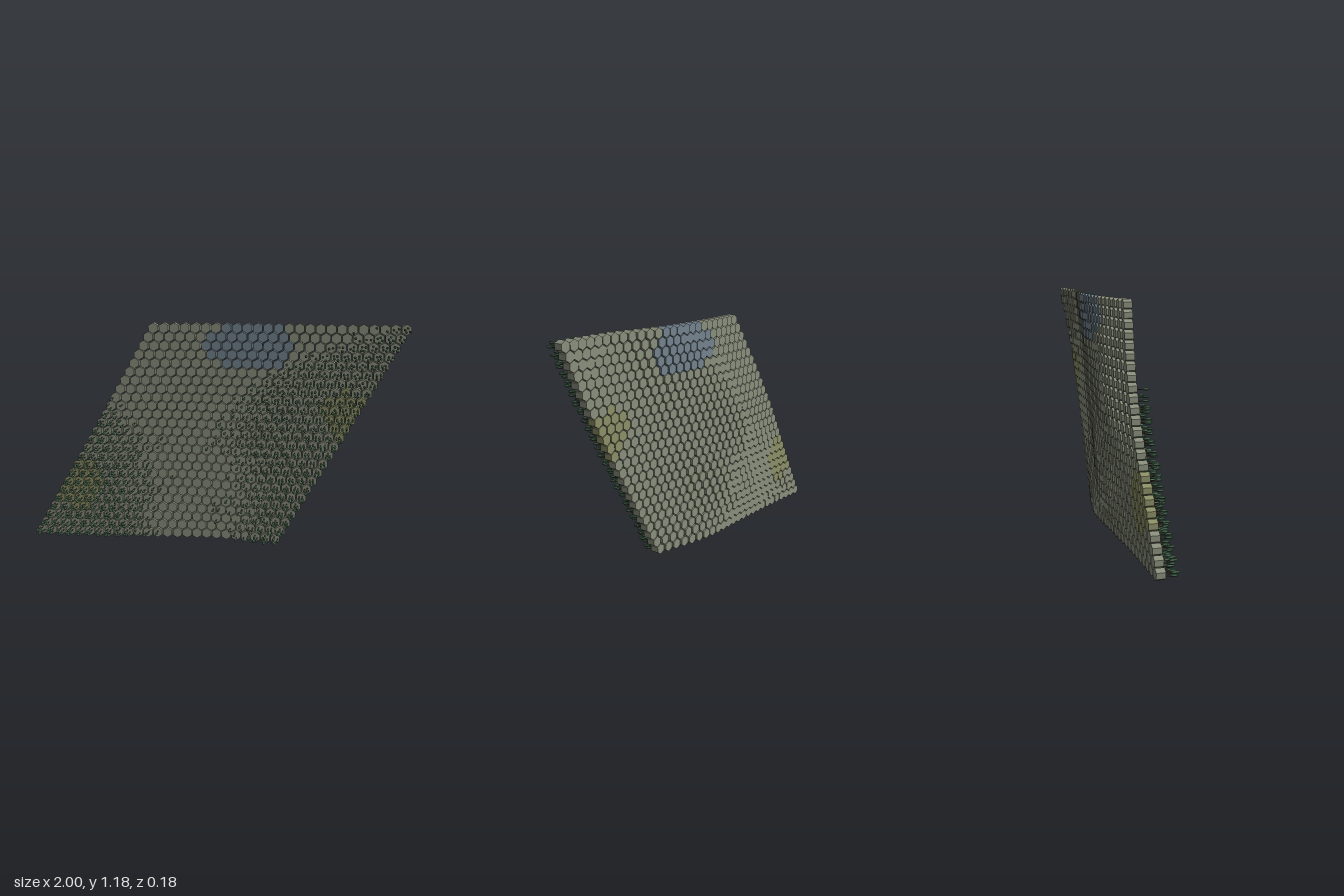
import * as THREE from 'three';
import { mergeGeometries } from 'three/addons/utils/BufferGeometryUtils.js';

const N = 25;                       // tiles per row, and rows
const PITCH = 0.0542, TILE = 0.0495; // tile spacing and width across flats
const DEPTH = 0.045;
const ROW = PITCH * Math.sqrt(3) / 2;

// Back z of the rolling ground: rows bottom to top, columns left to right
const GROUND = [
  [-0.03, -0.035, -0.052, -0.068, -0.018],
  [-0.035, -0.06, -0.085, -0.037, -0.018],
  [-0.045, -0.088, -0.062, -0.03, -0.018],
  [-0.033, -0.073, -0.062, -0.03, -0.028],
  [-0.005, -0.05, -0.07, -0.035, -0.055],
];

// Smooth interpolation through evenly spaced values
function spline(v, t) {
  const n = v.length - 1, f = Math.min(Math.max(t, 0), 1) * n;
  const i = Math.min(Math.floor(f), n - 1), u = f - i;
  const p1 = v[i], p2 = v[i + 1];
  const p0 = i > 0 ? v[i - 1] : 2 * p1 - p2;
  const p3 = i + 2 <= n ? v[i + 2] : 2 * p2 - p1;
  return p1 + 0.5 * u * (p2 - p0 + u * (2 * p0 - 5 * p1 + 4 * p2 - p3 + u * (3 * (p1 - p2) + p3 - p0)));
}

const groundZ = (q, r) => spline(GROUND.map((row) => spline(row, q / (N - 1))), r / (N - 1));

// Edges of the bare valley, by height
const VALLEY_LEFT = [-0.32, -0.33, -0.34, -0.42, -0.52, -0.6, -0.6];
const VALLEY_RIGHT = [0.06, 0.08, 0.08, 0.0, 0.1, 0.36, 0.88];

function seeded(seed) {
  return () => {
    seed = (seed * 1664525 + 1013904223) % 4294967296;
    return seed / 4294967296;
  };
}

// Number of trees standing on a tile
function treeCount(x, y, rand) {
  const t = y / 1.18;
  const inside = Math.max(spline(VALLEY_LEFT, t) - x, x - spline(VALLEY_RIGHT, t));
  const chance = rand();
  if (inside < 0) return inside > -0.14 && chance < 0.12 ? 1 : 0;
  return Math.round(Math.min(1 + inside * 14, 4) + chance - 0.5);
}

// Ground type by position
function tileType(x, y) {
  const near = (cx, cy, rx, ry) => ((x - cx) / rx) ** 2 + ((y - cy) / ry) ** 2 < 1;
  if (near(0.17, 1.06, 0.24, 0.13)) return 'water';
  if (near(-0.78, 0.3, 0.15, 0.14) || near(0.68, 0.7, 0.12, 0.14)) return 'dryGrass';
  return 'meadow';
}

export function createModel() {
  const rand = seeded(7);
  const parts = { meadow: [], water: [], dryGrass: [], treeTrunks: [], treeCrowns: [] };
  const colors = {
    meadow: 0x8b907e, water: 0x74848e, dryGrass: 0x8d9168, treeTrunks: 0x604a40, treeCrowns: 0x50755a,
  };

  // Prototypes, all pointing along +z from z = 0
  const tile = new THREE.CylinderGeometry(TILE / Math.sqrt(3), TILE / Math.sqrt(3), DEPTH, 6)
    .rotateX(Math.PI / 2).translate(0, 0, DEPTH / 2);
  const trunk = new THREE.CylinderGeometry(0.0022, 0.003, 0.03, 5, 1, true)
    .rotateX(Math.PI / 2).translate(0, 0, 0.015);
  const crown = new THREE.SphereGeometry(1, 6, 4).rotateX(Math.PI / 2)
    .scale(0.0075, 0.0075, 0.02).translate(0, 0, 0.044);

  for (let r = 0; r < N; r++) {
    for (let q = 0; q < N; q++) {
      const x = -1 + TILE / 2 + PITCH * (q + r / 2);
      const y = TILE / Math.sqrt(3) + ROW * r;
      const z = groundZ(q, r);
      parts[tileType(x, y)].push(tile.clone().translate(x, y, z));

      // Trees spread in a ring on the tile
      const count = treeCount(x, y, rand), turn = rand() * 6.28;
      for (let i = 0; i < count; i++) {
        const a = turn + (i / count) * Math.PI * 2 + rand() * 0.5;
        const d = 0.009 + rand() * 0.006, s = 0.88 + rand() * 0.18;
        const place = (g) => g.clone().scale(s, s, s)
          .translate(x + d * Math.cos(a), y + d * Math.sin(a), z + DEPTH);
        parts.treeTrunks.push(place(trunk));
        parts.treeCrowns.push(place(crown));
      }
    }
  }

  const group = new THREE.Group();
  group.name = 'hexTerrain';
  for (const [name, list] of Object.entries(parts)) {
    const material = new THREE.MeshStandardMaterial({ color: colors[name], flatShading: true });
    const mesh = new THREE.Mesh(mergeGeometries(list), material);
    mesh.name = name;
    group.add(mesh);
  }
  return group;
}
